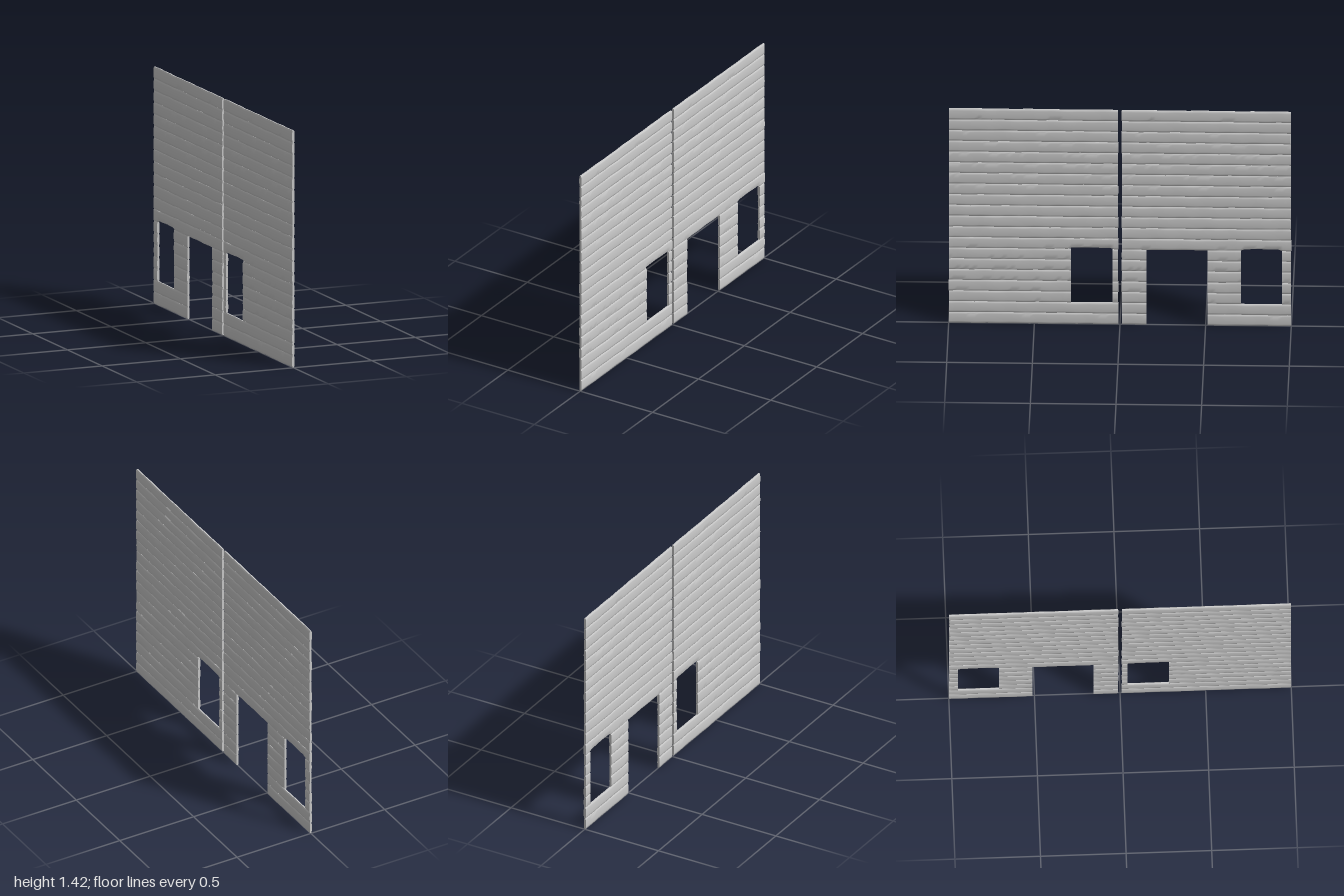
import * as THREE from 'three';
import { toCreasedNormals } from 'three/addons/utils/BufferGeometryUtils.js';

const ROWS = 20, PITCH = 0.0706, BASE = 0.004;
const PANEL = 0.991; // length of one wall panel

// Repeatable noise in -1..1
const hash = (n) => {
  const s = Math.sin(n * 127.1 + 11.7) * 43758.5453;
  return (s - Math.floor(s)) * 2 - 1;
};

// Height of the joint below row i at distance u along the panel (shared by both rows)
const jointY = (i, u) =>
  BASE + i * PITCH + 0.0016 * Math.sin(u * 13 + i * 2.3) * Math.sin(u * 29 + i * 4.1);

// Half cross-section of a board: [half thickness, height fraction]
const PROFILE = [[0.0035, 0], [0.0058, 0.05], [0.0071, 0.18], [0.0075, 0.5],
  [0.0071, 0.82], [0.0058, 0.95], [0.0035, 1]];

// One worn board of a row, running from distance a to b along the panel
function boardGeometry(row, a, b, lift) {
  const points = [
    ...PROFILE.map(([x, t]) => new THREE.Vector2(x, t)),
    ...[...PROFILE].reverse().map(([x, t]) => new THREE.Vector2(-x, t)),
  ];
  const geometry = new THREE.ExtrudeGeometry(new THREE.Shape(points), {
    depth: 1, steps: Math.max(3, Math.round((b - a) * 40)), bevelEnabled: false,
  });
  const p = geometry.attributes.position;
  for (let k = 0; k < p.count; k++) {
    const t = p.getY(k);
    const u = b + (a - b) * p.getZ(k); // panel runs towards -z
    const thick = 1 + 0.14 * Math.sin(u * 17 + row * 1.9) * Math.sin(u * 7 + row * 3.3);
    const low = jointY(row, u) + lift(u);
    p.setXYZ(k, p.getX(k) * thick, low + (jointY(row + 1, u) - low) * t, -u);
  }
  return toCreasedNormals(geometry, 0.9);
}

// Panel of stacked boards; openings are {a, b, from, to} in distance and rows
function wallPanel(name, frontZ, openings, material) {
  const panel = new THREE.Group();
  panel.name = name;
  for (let row = 0; row < ROWS; row++) {
    const ends = [0.0015 + 0.0015 * hash(row), PANEL - 0.0015 + 0.0015 * hash(row + 50)];
    const cuts = openings.filter((o) => row >= o.from && row < o.to);
    const stops = [ends[0], ...cuts.flatMap((o) => [o.a, o.b]), ends[1]];
    // Boards over a window are trimmed slightly higher
    const lift = (u) =>
      openings.some((o) => o.from > 0 && row === o.to && u > o.a && u < o.b) ? 0.01 : 0;
    for (let s = 0; s < stops.length; s += 2) {
      const board = new THREE.Mesh(boardGeometry(row, stops[s], stops[s + 1], lift), material);
      board.name = `board${row + 1}_${s / 2 + 1}`;
      panel.add(board);
    }
  }
  panel.position.z = frontZ;
  return panel;
}

export function createModel() {
  const model = new THREE.Group();
  model.name = 'plankWall';
  const material = new THREE.MeshStandardMaterial({ color: 0xcccccc });

  // Panel with one window
  model.add(wallPanel('windowPanel', 1, [{ a: 0.715, b: 0.957, from: 2, to: 7 }], material));

  // Panel with a doorway and a window
  model.add(wallPanel('doorPanel', -0.009, [
    { a: 0.147, b: 0.503, from: 0, to: 7 },
    { a: 0.698, b: 0.937, from: 2, to: 7 },
  ], material));

  return model;
}
